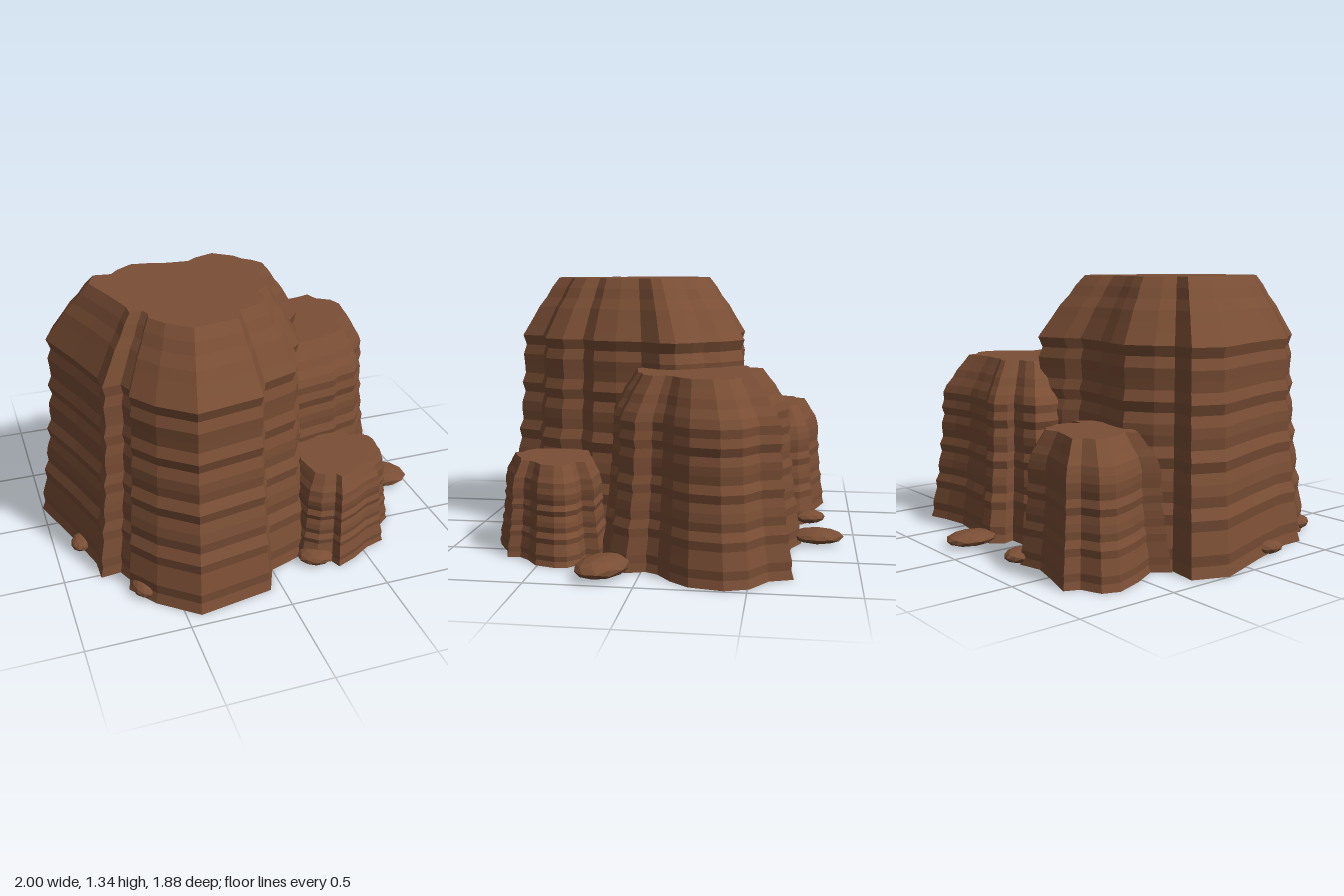
import * as THREE from 'three';

const rockMat = new THREE.MeshStandardMaterial({ color: 0x7a4e35, flatShading: true });
rockMat.name = 'brownRock';

// Width of a column at relative height t: flared foot, rippled strata, sloping shoulder.
function widthAt(t, ring, topScale, ripple) {
  const shoulder = 0.78;
  const strata = ripple * (0.75 * Math.cos(ring * 2.5) + 0.35 * Math.sin(ring * 3.9));
  if (t <= shoulder) {
    const flare = Math.sin((t / shoulder) * Math.PI / 2);
    return 1 - 0.14 * flare + (ring === 0 ? 0 : strata);
  }
  const k = (t - shoulder) / (1 - shoulder);
  return THREE.MathUtils.lerp(0.86, topScale, 0.87 * k + 0.13 * k * k)
    + (k < 0.95 ? 0.4 * strata : 0);
}

// Rock column: an irregular outline (x, z around its centre) raised in layers.
function column(name, cx, cz, height, rings, topScale, ripple, outline) {
  const shape = new THREE.Shape(outline.map(([x, z]) => new THREE.Vector2(x - cx, cz - z)));
  const geo = new THREE.ExtrudeGeometry(shape, { depth: 1, steps: rings, bevelEnabled: false });
  geo.rotateX(-Math.PI / 2);
  const p = geo.attributes.position;
  for (let i = 0; i < p.count; i++) {
    const t = p.getY(i);
    const s = widthAt(t, Math.round(t * rings), topScale, ripple);
    p.setXYZ(i, p.getX(i) * s, t * height, p.getZ(i) * s);
  }
  geo.computeVertexNormals();
  const mesh = new THREE.Mesh(geo, rockMat);
  mesh.name = name;
  mesh.position.set(cx, 0, cz);
  return mesh;
}

// Flattened loose stone lying on the ground.
function stone(x, z, rx, ry, rz, turn) {
  const mesh = new THREE.Mesh(new THREE.IcosahedronGeometry(1, 1), rockMat);
  mesh.name = 'looseStone';
  mesh.scale.set(rx, ry, rz);
  mesh.rotation.y = turn;
  mesh.position.set(x, ry, z);
  return mesh;
}

export function createModel() {
  const group = new THREE.Group();
  group.name = 'rockFormation';

  group.add(column('tallColumn', -0.25, 0.2, 1.335, 26, 0.585, 0.013, [
    [-1, -0.16], [-0.93, -0.33], [-0.78, -0.31], [-0.71, -0.39], [-0.57, -0.48],
    [-0.43, -0.46], [-0.29, -0.42], [-0.08, -0.4], [0.0, -0.46], [0.17, -0.52],
    [0.33, -0.4], [0.38, -0.31], [0.45, -0.25], [0.51, -0.16], [0.5, -0.07],
    [0.4, 0.05], [0.39, 0.2], [0.35, 0.34], [0.26, 0.42], [0.27, 0.54],
    [0.2, 0.66], [0, 0.73], [-0.06, 0.87], [-0.43, 0.935], [-0.61, 0.79],
    [-0.71, 0.65], [-0.69, 0.58], [-0.72, 0.51], [-0.82, 0.52], [-0.82, 0.4],
    [-0.9, 0.13],
  ]));

  group.add(column('mediumColumn', 0.48, -0.22, 0.9, 22, 0.605, 0.013, [
    [-0.09, -0.48], [-0.08, -0.58], [0, -0.61], [0.1, -0.61], [0.08, -0.67],
    [0.13, -0.73], [0.2, -0.73], [0.3, -0.68], [0.42, -0.67], [0.54, -0.65],
    [0.68, -0.67], [0.79, -0.7], [0.83, -0.59], [0.95, -0.51], [0.99, -0.4],
    [0.96, -0.24], [0.89, -0.15], [0.8, -0.08], [0.77, -0.02], [0.8, 0.07],
    [0.73, 0.16], [0.6, 0.19], [0.56, 0.23], [0.42, 0.25], [0.28, 0.28],
    [0.1, 0.2], [0, 0], [0.02, -0.25], [-0.07, -0.38],
  ]));

  group.add(column('backColumn', -0.45, -0.55, 0.64, 18, 0.6, 0.015, [
    [-0.85, -0.67], [-0.82, -0.75], [-0.72, -0.79], [-0.69, -0.86], [-0.53, -0.81],
    [-0.38, -0.77], [-0.26, -0.8], [-0.17, -0.73], [-0.15, -0.66], [-0.1, -0.59],
    [-0.11, -0.48], [-0.18, -0.4], [-0.04, -0.38], [-0.15, -0.25], [-0.6, -0.22],
    [-0.79, -0.32], [-0.73, -0.4], [-0.8, -0.53],
  ]));

  group.add(column('smallColumn', 0.43, 0.49, 0.465, 18, 0.68, 0.018, [
    [0.18, 0.29], [0.34, 0.25], [0.4, 0.22], [0.62, 0.22], [0.62, 0.29],
    [0.7, 0.3], [0.76, 0.35], [0.77, 0.41], [0.74, 0.51], [0.66, 0.57],
    [0.62, 0.62], [0.63, 0.68], [0.53, 0.71], [0.43, 0.77], [0.33, 0.81],
    [0.31, 0.76], [0.23, 0.75], [0.17, 0.7], [0.14, 0.5],
  ]));

  // x, z, half sizes, turn
  [
    [0.17, -0.81, 0.1, 0.037, 0.135, 0],
    [0.85, 0.165, 0.16, 0.047, 0.115, -0.4],
    [-0.22, -0.77, 0.07, 0.035, 0.09, 0.2],
    [-0.86, 0.24, 0.055, 0.033, 0.075, -0.4],
    [-0.65, 0.69, 0.055, 0.037, 0.08, 0.2],
    [0.23, 0.73, 0.09, 0.037, 0.07, -0.3],
  ].forEach((s) => group.add(stone(...s)));

  return group;
}
